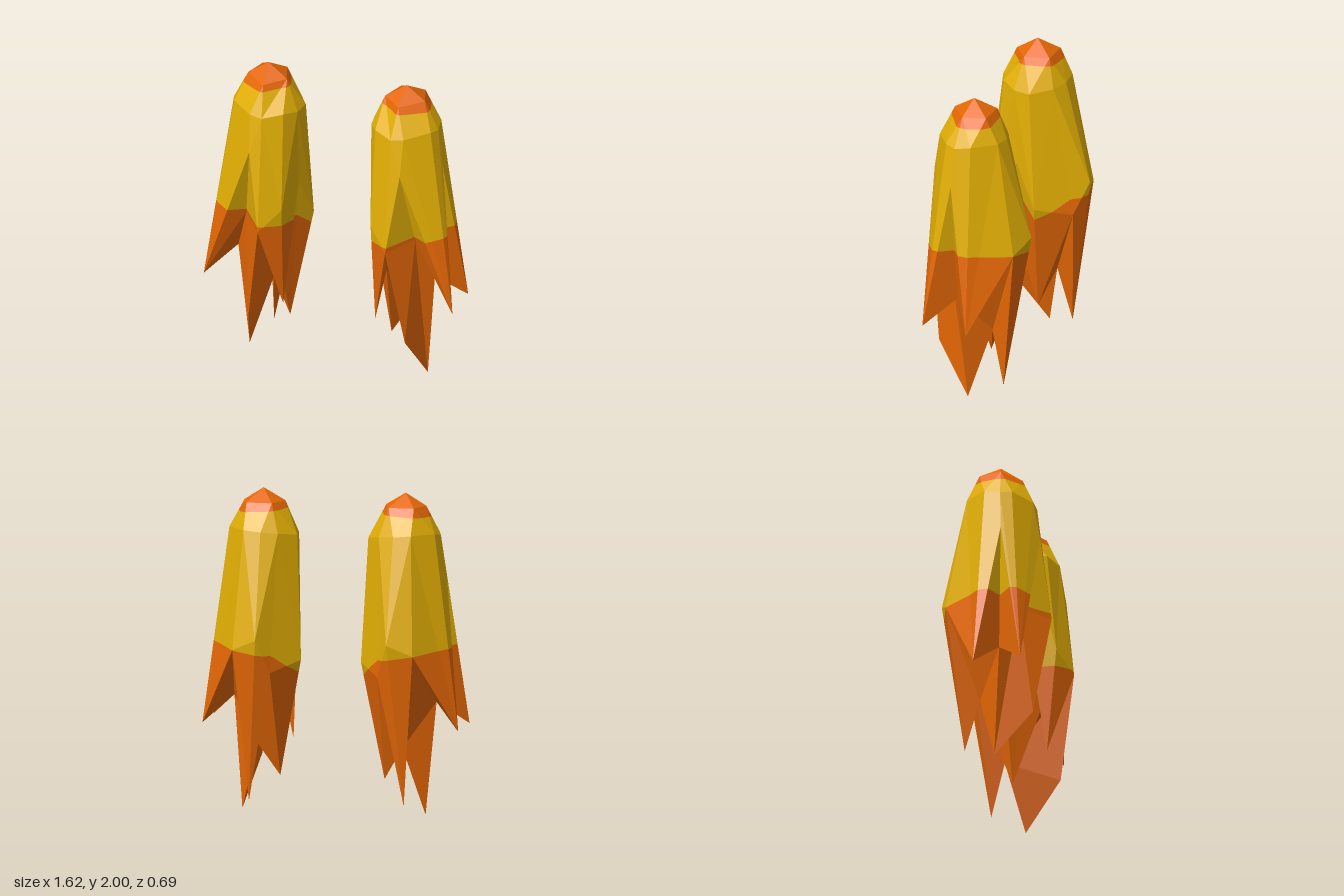
import * as THREE from 'three';

const yellow = new THREE.MeshStandardMaterial({ color: 0xe4b004 });
yellow.name = 'golden yellow';
const orange = new THREE.MeshStandardMaterial({ color: 0xe66805 });
orange.name = 'burnt orange';

// Cross-sections of the left piece, running from +x round by the front
const apex = [0.45, 2, 0.03];
const crown = [
  [0.575, 1.92, 0.05], [0.44, 1.91, 0.165], [0.32, 1.92, 0.06],
  [0.37, 1.92, -0.09], [0.53, 1.92, -0.09],
];
const crownOf = [0, 0, 1, 1, 2, 2, 2, 3, 3, 4, 4]; // crown corner above each shoulder point
const shoulder = [
  [0.665, 1.74, 0.06], [0.64, 1.75, 0.13], [0.50, 1.73, 0.24], [0.42, 1.72, 0.25],
  [0.30, 1.74, 0.19], [0.24, 1.72, 0.09], [0.225, 1.72, -0.02], [0.32, 1.74, -0.14],
  [0.42, 1.75, -0.18], [0.53, 1.76, -0.17], [0.65, 1.76, -0.04],
];
// Hem: slit tops alternate with ridges; the two outer flaps end in their tips here
const hem = [
  [0.70, 1.49, 0.07], [0.81, 0.55, 0.21], [0.49, 1.49, 0.28], [0.415, 0.97, 0.34],
  [0.29, 1.10, 0.25], [0.24, 1.22, 0.07], [0.19, 0.95, -0.07], [0.34, 0.89, -0.265],
  [0.415, 1.10, -0.345], [0.57, 1.03, -0.295], [0.81, 0.54, -0.085],
];
const ridges = [1, 4, 6, 8, 10];
// Inner points where the walls of neighbouring spikes meet
const hub = [0.46, 0.43, -0.10];
const sideNotch = [0.64, 0.70, 0.05];
const frontNotch = [0.55, 1.00, 0.16];
const innerNotch = [0.36, 0.75, 0.15];

function buildTriangles() {
  const tris = [];
  const tri = (a, b, c) => { if (a !== b && b !== c && c !== a) tris.push([a, b, c]); };
  const n = hem.length;

  // Dome and body
  for (let i = 0; i < n; i++) {
    const j = (i + 1) % n;
    const c = crown[crownOf[i]], d = crown[crownOf[j]];
    tri(apex, d, c);
    tri(c, d, shoulder[i]);
    tri(d, shoulder[j], shoulder[i]);
    if (ridges.includes(j)) {
      tri(shoulder[i], shoulder[j], hem[j]);
      tri(shoulder[i], hem[j], hem[i]);
    } else {
      tri(shoulder[i], shoulder[j], hem[i]);
      tri(shoulder[j], hem[j], hem[i]);
    }
  }

  // Hanging spike: two outer faces, then walls fanned along a path of inner points
  const walls = (tip, path) => {
    for (let k = 0; k + 1 < path.length; k++) tri(tip, path[k + 1], path[k]);
  };
  const spike = (i, tip, inner) => {
    tri(hem[i - 1], hem[i], tip);
    tri(hem[i], hem[i + 1], tip);
    walls(tip, [hem[i - 1], ...inner, hem[i + 1]]);
  };
  spike(4, [0.30, 0.42, 0.19], [innerNotch]);
  spike(6, [0.33, 0.22, -0.03], [innerNotch, hub]);
  spike(8, [0.49, 0.08, -0.19], [hub]);

  // Two flared outer flaps
  walls(hem[1], [hem[0], sideNotch, frontNotch, hem[2]]);
  walls(hem[10], [hem[9], sideNotch, hem[0]]);

  // Long front blade with a bent edge
  const bend = [0.51, 0.31, 0.24], point = [0.58, 0, 0.01];
  tri(hem[2], hem[3], frontNotch);
  tri(hem[3], bend, frontNotch);
  tri(bend, point, frontNotch);
  tri(bend, hem[3], hub);
  walls(point, [frontNotch, sideNotch, hub, bend]);

  // Core between the spikes
  tri(hem[3], innerNotch, hub);
  tri(hem[9], sideNotch, hub);
  return tris;
}

// Keeps the part of a polygon where f is positive
function clip(poly, f) {
  const out = [];
  poly.forEach((p, i) => {
    const q = poly[(i + 1) % poly.length];
    const a = f(p), b = f(q);
    if (a >= 0) out.push(p);
    if ((a >= 0) !== (b >= 0)) {
      const t = a / (a - b);
      out.push(p.map((v, k) => v + (q[k] - v) * t));
    }
  });
  return out;
}

// Flat-faced mesh from the polygons lying inside all limits
function band(name, tris, limits, side, material) {
  const pos = [];
  for (const t of tris) {
    const poly = limits.reduce((p, f) => clip(p, f), t);
    for (let i = 1; i + 1 < poly.length; i++) {
      const corners = [poly[0], poly[i], poly[i + 1]];
      if (side < 0) corners.reverse();
      for (const [x, y, z] of corners) pos.push(x * side, y, z);
    }
  }
  const geometry = new THREE.BufferGeometry();
  geometry.setAttribute('position', new THREE.Float32BufferAttribute(pos, 3));
  geometry.computeVertexNormals();
  const mesh = new THREE.Mesh(geometry, material);
  mesh.name = name;
  return mesh;
}

export function createModel() {
  const model = new THREE.Group();
  model.name = 'pairOfTassels';
  const tris = buildTriangles();
  // Colour borders, as sloping planes; the lower one dips on the inner side
  const aboveHem = ([x, y]) => y - Math.min(0.975 + 0.14 * (x - 0.2), 0.86 + 2 * (x - 0.19));
  const aboveBody = ([x, y]) => y - (1.868 - 0.06 * (x - 0.45));
  const not = (f) => (p) => -f(p);

  for (const [side, name] of [[1, 'leftTassel'], [-1, 'rightTassel']]) {
    const tassel = new THREE.Group();
    tassel.name = name;
    tassel.add(
      band('cap', tris, [aboveBody], side, orange),
      band('body', tris, [aboveHem, not(aboveBody)], side, yellow),
      band('spikes', tris, [not(aboveHem)], side, orange),
    );
    model.add(tassel);
  }
  return model;
}
